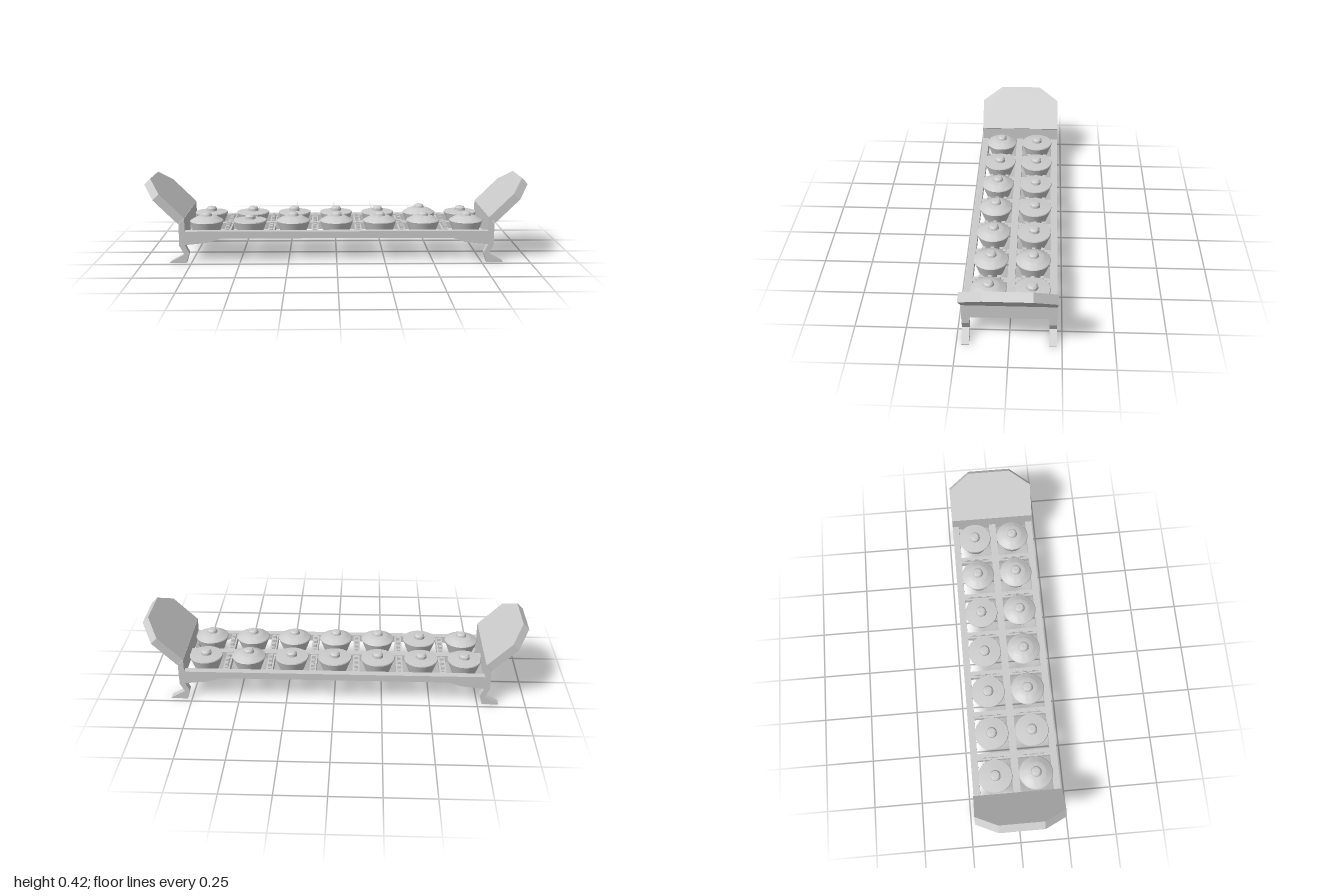
import * as THREE from 'three';
import { toCreasedNormals } from 'three/addons/utils/BufferGeometryUtils.js';

const grey = new THREE.MeshStandardMaterial({ color: 0xcccccc });
const shell = new THREE.MeshStandardMaterial({ color: 0xcccccc, side: THREE.DoubleSide });

function add(parent, name, geometry, x = 0, y = 0, z = 0, material = grey) {
  const mesh = new THREE.Mesh(geometry, material);
  mesh.name = name;
  mesh.position.set(x, y, z);
  parent.add(mesh);
  return mesh;
}

function prism(points, depth) {
  const shape = new THREE.Shape(points.map(([x, y]) => new THREE.Vector2(x, y)));
  return new THREE.ExtrudeGeometry(shape, { depth, bevelEnabled: false });
}

function potGeometry(top) {
  // Inner wall, open foot, flaring outer wall, then the given top
  const profile = [[0.001, 0.196], [0.078, 0.192], [0.057, 0.128], [0.0625, 0.128], [0.088, 0.198], ...top];
  const lathe = new THREE.LatheGeometry(profile.map(([r, y]) => new THREE.Vector2(r, y)), 36);
  return toCreasedNormals(lathe, 0.35);
}

export function createModel() {
  const model = new THREE.Group();
  model.name = 'gongRack';
  const W = 0.225, RAIL = 0.036, ROW = 0.105, STEP = 0.2267;

  // Long side rails with deepened ends, and the middle rail
  const railShape = [[-0.78, 0.095], [-0.66, 0.108], [-0.595, 0.13], [0.595, 0.13],
    [0.66, 0.108], [0.78, 0.095], [0.78, 0.166], [-0.78, 0.166]];
  for (const z of [-W, W - RAIL]) add(model, 'sideRail', prism(railShape, RAIL), 0, 0, z);
  add(model, 'middleRail', new THREE.BoxGeometry(1.56, 0.036, 0.038), 0, 0.148, 0);

  // Crossbars between the pots, with small pegs on top
  for (let i = 0; i < 6; i++) {
    const x = (i - 2.5) * STEP;
    add(model, 'crossbar', new THREE.BoxGeometry(0.036, 0.03, 0.38), x, 0.146, 0);
    for (const z of [-ROW, ROW]) {
      add(model, 'spacerStrip', new THREE.BoxGeometry(0.016, 0.008, 0.14), x, 0.164, z);
      for (const dz of [-0.045, 0, 0.045])
        add(model, 'peg', new THREE.BoxGeometry(0.018, 0.02, 0.018), x, 0.171, z + dz);
    }
  }

  // Pots: domed ones and flat-topped ones, each with a central boss
  const domed = potGeometry([[0.085, 0.202], [0.056, 0.218], [0.05, 0.221], [0.028, 0.224],
    [0.025, 0.235], [0.019, 0.241], [0.01, 0.2435], [0, 0.244]]);
  const flat = potGeometry([[0.086, 0.203], [0.055, 0.206], [0.028, 0.208], [0.027, 0.222],
    [0.02, 0.23], [0.01, 0.2325], [0, 0.233]]);
  for (let i = 0; i < 7; i++) {
    const x = (i - 3) * STEP;
    add(model, 'backPot', i === 5 ? domed : flat, x, 0, -ROW, shell);
    add(model, 'frontPot', i === 1 ? flat : domed, x, 0, ROW, shell);
  }

  // Ends: panel, slanted board and two bent legs, repeated by a half turn
  const legShape = [[0.81, 0.13], [0.78, 0.13], [0.78, 0.092], [0.76, 0.052], [0.775, 0],
    [0.86, 0], [0.86, 0.005], [0.786, 0.046], [0.81, 0.092]];
  const boardShape = [[-W, 0], [W, 0], [W, 0.177], [0.113, 0.263], [-0.113, 0.263], [-W, 0.177]];
  for (const turn of [0, Math.PI]) {
    const end = new THREE.Group();
    end.name = turn ? 'rightEnd' : 'leftEnd';
    end.rotation.y = turn;
    model.add(end);
    add(end, 'endPanel', prism([[0.78, 0.13], [0.81, 0.13], [0.81, 0.205], [0.78, 0.235]], 2 * W), 0, 0, -W);
    for (const z of [-W, W - RAIL]) add(end, 'leg', prism(legShape, RAIL), 0, 0, z);
    const s = Math.SQRT1_2;
    const slant = new THREE.Matrix4().makeBasis(
      new THREE.Vector3(0, 0, 1), new THREE.Vector3(s, s, 0), new THREE.Vector3(-s, s, 0));
    add(end, 'slantedBoard', prism(boardShape, 0.045).applyMatrix4(slant), 0.812, 0.205, 0);
  }
  return model;
}
